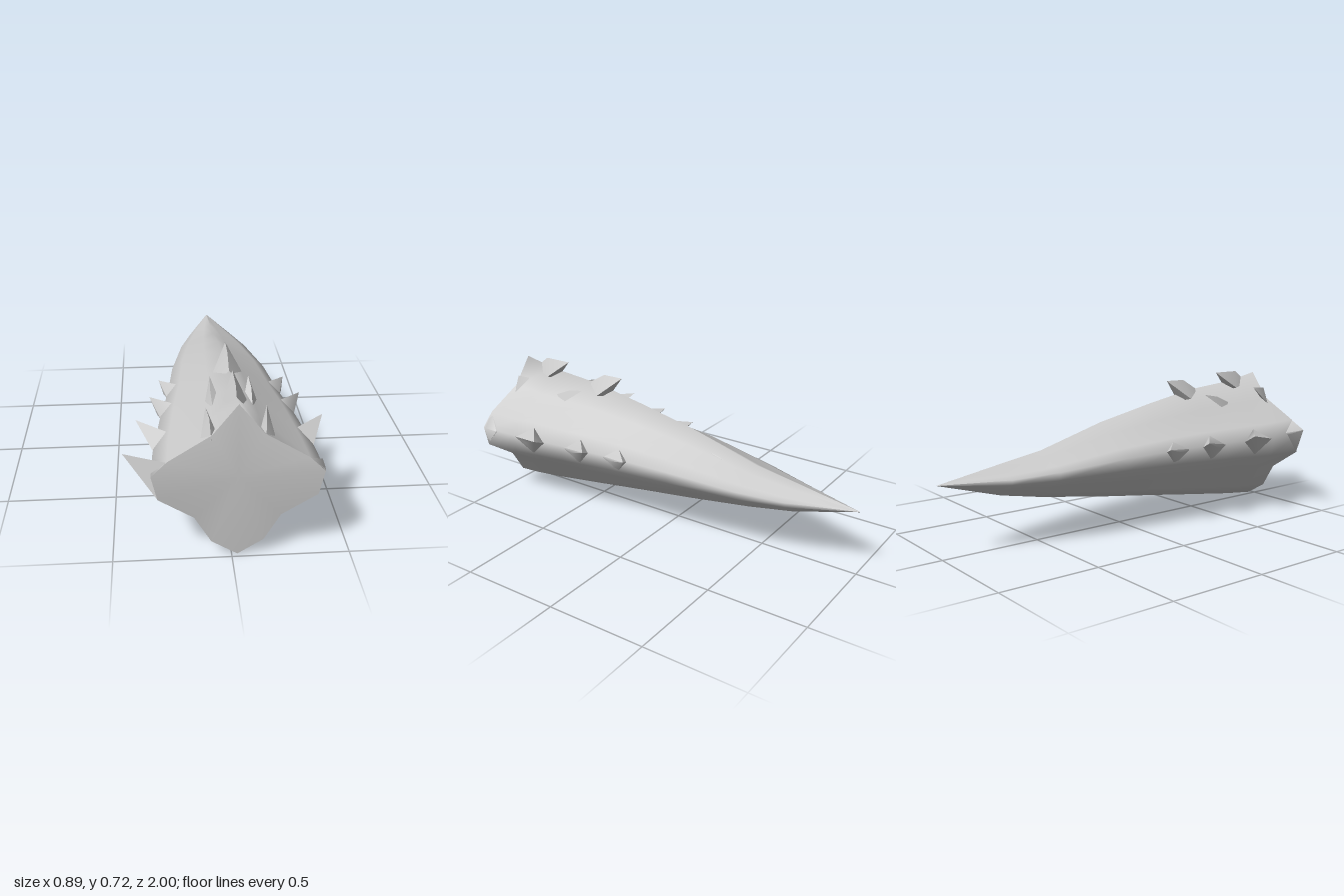
import * as THREE from 'three';
import { toCreasedNormals } from 'three/addons/utils/BufferGeometryUtils.js';
import { ConvexGeometry } from 'three/addons/geometries/ConvexGeometry.js';

const CX = 0.024; // symmetry axis of the body
const grey = new THREE.MeshStandardMaterial({ color: 0xcccccc, side: THREE.DoubleSide });

// Half profiles [share of half width, share of height above (+) or below (-) the widest line]
const BUTT = [[0, 1], [0.3, 0.56], [0.81, 0.22], [1, 0], [0.93, -0.27], [0.51, -0.53], [0.31, -0.83], [0, -1]];
const POINT = [[0, 1], [0.3, 0.64], [0.78, 0.27], [1, 0], [0.96, -0.26], [0.56, -0.58], [0.31, -0.82], [0, -1]];

// Stations: z, half width, top, widest line, bottom, blend from butt to point profile
const STATIONS = [
  [0.98, 0.355, 0.705, 0.4, 0, 0],
  [0.8, 0.345, 0.67, 0.4, 0.02, 0.1],
  [0.5, 0.31, 0.645, 0.4, 0.062, 0.3],
  [0.22, 0.268, 0.595, 0.395, 0.102, 0.65],
  [-0.1, 0.235, 0.53, 0.385, 0.146, 0.9],
  [-0.46, 0.175, 0.43, 0.355, 0.202, 1],
  [-0.68, 0.115, 0.395, 0.34, 0.245, 1],
  [-1, 0.001, 0.341, 0.34, 0.339, 1],
];

function ring([z, w, top, mid, bottom, k]) {
  const half = BUTT.map(([u, v], i) => {
    const x = THREE.MathUtils.lerp(u, POINT[i][0], k) * w;
    const t = THREE.MathUtils.lerp(v, POINT[i][1], k);
    return [x, mid + t * (t > 0 ? top - mid : mid - bottom), z];
  });
  const mirrored = half.slice(1, -1).reverse().map(([x, y, zz]) => [-x, y, zz]);
  return [...half, ...mirrored].map(([x, y, zz]) => [x + CX, y, zz]);
}

function smoothGeometry(points, index) {
  const g = new THREE.BufferGeometry();
  g.setAttribute('position', new THREE.Float32BufferAttribute(points.flat(), 3));
  g.setIndex(index);
  g.computeVertexNormals();
  return g;
}

export function createModel() {
  const model = new THREE.Group();
  const add = (name, geometry) => {
    const mesh = new THREE.Mesh(geometry, grey);
    mesh.name = name;
    model.add(mesh);
  };

  // Tapering body lofted through the stations; the butt end bulges at mid height
  const rings = STATIONS.map(ring);
  rings[0].forEach((p) => { if (p[1] > 0.25 && p[1] < 0.5) p[2] = 0.998; });
  const n = rings[0].length;
  const index = [];
  for (let i = 0; i < rings.length - 1; i++) {
    for (let j = 0; j < n; j++) {
      const a = i * n + j, b = i * n + (j + 1) % n;
      index.push(a, b, a + n, b, b + n, a + n);
    }
  }
  add('body', smoothGeometry(rings.flat(), index));

  // Closing face of the butt end
  const capIndex = [];
  for (let j = 0; j < n; j++) capIndex.push(n, (j + 1) % n, j);
  add('endFace', smoothGeometry([...rings[0], [CX, 0.39, 1]], capIndex));

  // A thorn is a stretched diamond: root, tip and a ring of corners between
  const thorn = (name, side, points) => add(name, toCreasedNormals(new ConvexGeometry(
    points.map(([x, y, z]) => new THREE.Vector3(CX + side * x, y, z))), 1.3));

  // Crest thorns along the top
  thorn('crestThorn', 1, [[0, 0.65, 0.93], [0, 0.72, 0.84], [0, 0.722, 0.69], [0.05, 0.635, 0.8], [-0.05, 0.635, 0.8], [0, 0.62, 0.77]]);
  thorn('crestThorn', 1, [[0, 0.64, 0.55], [0, 0.7, 0.45], [0, 0.703, 0.335], [0.065, 0.605, 0.45], [-0.065, 0.605, 0.45], [0, 0.59, 0.42]]);

  for (const side of [1, -1]) {
    // Paired thorns beside the crest
    thorn('shoulderThorn', side, [[0.11, 0.55, 0.985], [0.125, 0.638, 0.86], [0.15, 0.545, 0.95], [0.09, 0.575, 0.95], [0.115, 0.63, 0.95]]);
    thorn('backThorn', side, [[0.085, 0.56, 0.72], [0.085, 0.622, 0.53], [0.112, 0.55, 0.63], [0.06, 0.58, 0.63], [0.09, 0.605, 0.62]]);

    // Flank thorns: front z, tip z, tip x, tip y, body half width, size
    for (const [z0, z1, x, y, w, s] of [
      [0.8, 0.575, 0.417, 0.442, 0.335, 1],
      [0.5, 0.315, 0.355, 0.427, 0.298, 0.9],
      [0.28, 0.1, 0.308, 0.412, 0.265, 0.75],
    ]) {
      const zm = z0 + (z1 - z0) * 0.45;
      thorn('flankThorn', side, [
        [w, 0.39, z0], [x, y, z1], [w - 0.05, 0.39 + 0.055 * s, zm],
        [w - 0.035, 0.3, zm], [w + 0.022, 0.385, zm], [w - 0.06, 0.37, z1 + 0.04],
      ]);
    }

    // Small slits near the point
    thorn('nostril', side, [[0.054, 0.455, -0.24], [0.054, 0.438, -0.31], [0.06, 0.44, -0.27], [0.048, 0.45, -0.27], [0.054, 0.42, -0.27]]);
  }

  // Corner points at the butt end: one long, one broken short
  thorn('cornerThorn', -1, [[0.29, 0.464, 0.998], [0.469, 0.448, 0.885], [0.328, 0.29, 0.998], [0.3, 0.4, 0.9], [0.345, 0.4, 0.9]]);
  thorn('cornerStub', 1, [[0.288, 0.464, 0.998], [0.36, 0.4, 0.9], [0.358, 0.4, 0.985], [0.33, 0.3, 0.998], [0.28, 0.4, 0.92]]);

  return model;
}
